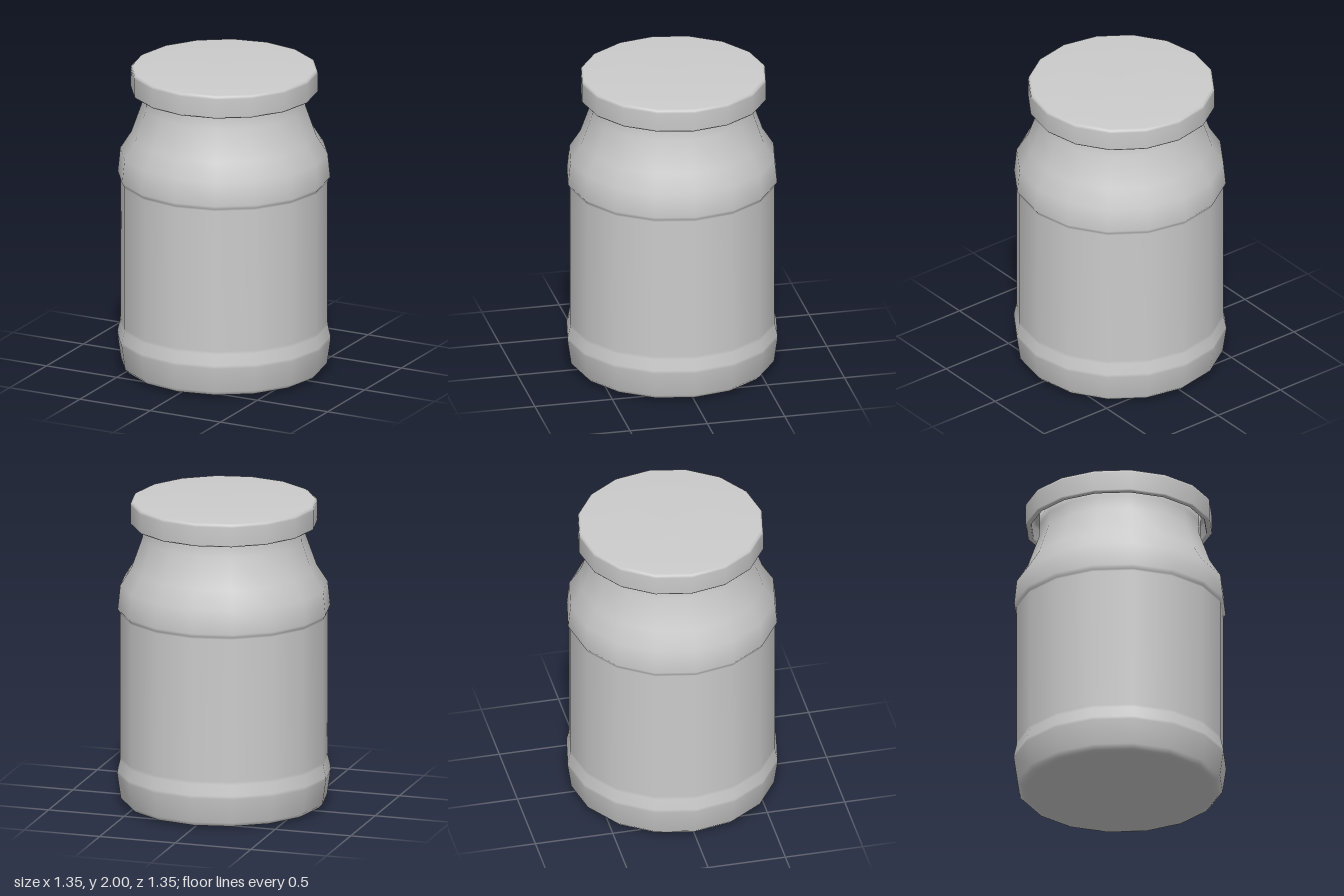
import * as THREE from 'three';

const SIDES = 16;

// Revolve a [radius, height] profile, listed from the bottom centre outwards and up
function turned(name, profile, material) {
  const points = profile.map(([r, y]) => new THREE.Vector2(r, y));
  const mesh = new THREE.Mesh(new THREE.LatheGeometry(points, SIDES), material);
  mesh.name = name;
  return mesh;
}

export function createModel() {
  const group = new THREE.Group();
  group.name = 'jar';
  const material = new THREE.MeshStandardMaterial({ color: 0xcccccc });

  // Body: slightly domed base, bulging foot, recessed label wall, shoulder and neck
  const body = turned('jarBody', [
    [0, 0.005], [0.3, 0.008], [0.6, 0.018], [0.625, 0.022], [0.652, 0.05],
    [0.675, 0.21], [0.674, 0.23], [0.658, 0.3], [0.656, 0.32],
    [0.656, 1.25], [0.657, 1.262], [0.672, 1.285],
    [0.656, 1.44], [0.586, 1.55], [0.516, 1.75], [0.511, 1.84],
    [0.511, 1.94], [0, 1.945],
  ], material);

  // Lid: hollow rim around the neck with a gently domed top
  const lid = turned('lid', [
    [0, 1.945], [0.54, 1.945], [0.555, 1.93], [0.555, 1.85], [0.56, 1.838],
    [0.585, 1.838], [0.592, 1.847], [0.592, 1.965], [0.589, 1.98],
    [0.575, 1.988], [0.3, 1.997], [0, 2],
  ], material);
  lid.position.set(-0.003, 0, -0.01);

  group.add(body, lid);
  return group;
}
